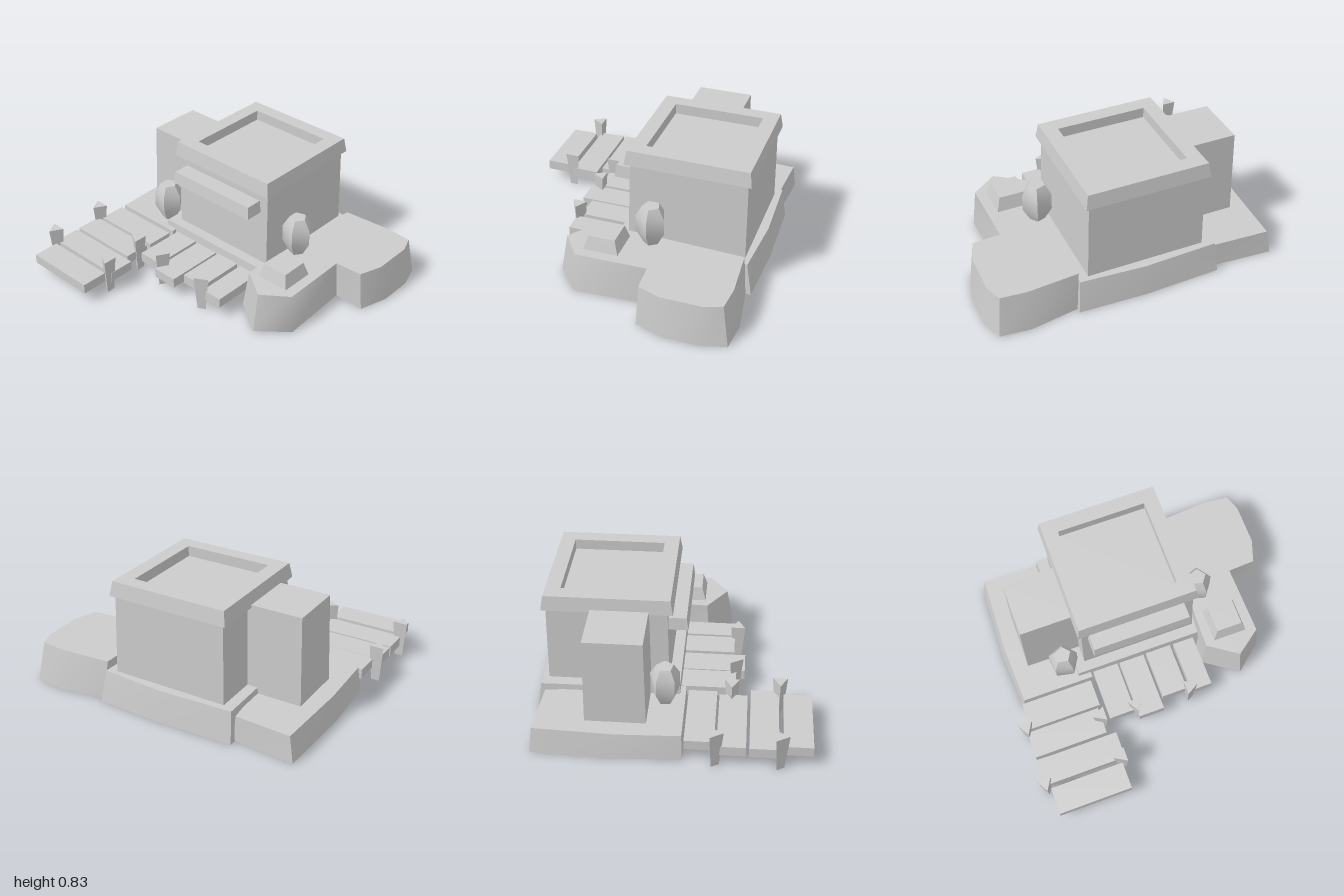
import * as THREE from 'three';
import { toCreasedNormals } from 'three/addons/utils/BufferGeometryUtils.js';

const grey = new THREE.MeshStandardMaterial({ color: 0xcccccc });
const shellGrey = new THREE.MeshStandardMaterial({ color: 0xcccccc, side: THREE.DoubleSide });

// Joins horizontal loops of [x, z] points, each at its own height, into a solid or an open shell.
function loft(loops, heights, { bottom = true, crease = 0.3 } = {}) {
  const pos = [];
  const put = (k, i) => pos.push(loops[k][i][0], heights[k], loops[k][i][1]);
  const n = loops[0].length;
  for (let k = 0; k < loops.length - 1; k++) {
    for (let i = 0; i < n; i++) {
      const j = (i + 1) % n;
      put(k, i); put(k, j); put(k + 1, j);
      put(k, i); put(k + 1, j); put(k + 1, i);
    }
  }
  const cap = (k, up) => {
    const flat = loops[k].map(([x, z]) => new THREE.Vector2(x, -z));
    for (const [a, b, c] of THREE.ShapeUtils.triangulateShape(flat, [])) {
      (up ? [a, b, c] : [a, c, b]).forEach((i) => put(k, i));
    }
  };
  cap(loops.length - 1, true);
  if (bottom) cap(0, false);
  const geometry = new THREE.BufferGeometry();
  geometry.setAttribute('position', new THREE.Float32BufferAttribute(pos, 3));
  return toCreasedNormals(geometry, crease);
}

// Rectangle loop, running along the front first.
const rect = (x0, x1, z0, z1, inset = 0) => [
  [x0 + inset, z1 - inset], [x1 - inset, z1 - inset],
  [x1 - inset, z0 + inset], [x0 + inset, z0 + inset],
];

const block = (x0, x1, y0, y1, z0, z1, inset = 0) =>
  loft([rect(x0, x1, z0, z1), rect(x0, x1, z0, z1, inset)], [y0, y1]);

export function createModel() {
  const model = new THREE.Group();
  const add = (name, geometry, material = grey) => {
    const mesh = new THREE.Mesh(geometry, material);
    mesh.name = name;
    model.add(mesh);
    return mesh;
  };

  // Ground slabs, hollow underneath
  const slab = (name, height, low, high) =>
    add(name, loft([low, high], [0, height], { bottom: false, crease: 1.0 }), shellGrey);
  slab('frontGround', 0.265,
    [[-0.36, 0.57], [-0.2, 0.76], [0.29, 0.735], [0.285, 0.94], [0.48, 0.998], [0.71, 0.998],
      [0.865, 0.95], [0.885, 0.75], [0.835, 0.43], [-0.2, 0.34]],
    [[-0.315, 0.565], [-0.19, 0.735], [0.28, 0.725], [0.29, 0.91], [0.44, 0.96], [0.71, 0.96],
      [0.82, 0.92], [0.835, 0.75], [0.81, 0.41], [-0.18, 0.37]]);
  slab('middleGround', 0.21,
    [[-0.07, 0.37], [0.87, 0.43], [0.888, -0.02], [0.87, -0.53], [-0.07, -0.52]],
    [[-0.05, 0.36], [0.83, 0.41], [0.86, -0.02], [0.84, -0.515], [-0.05, -0.505]]);
  slab('backGround', 0.17,
    [[-0.095, -0.41], [0.82, -0.52], [0.85, -0.935], [0.31, -0.955], [-0.095, -0.93]],
    [[-0.09, -0.42], [0.815, -0.53], [0.835, -0.905], [0.31, -0.925], [-0.09, -0.91]]);

  // House, rear tower and side beam
  add('houseWalls', block(0.02, 0.8, 0.2, 0.735, -0.44, 0.345, 0.01));
  add('rearTower', loft([rect(0.135, 0.52, -0.81, -0.42), rect(0.145, 0.51, -0.795, -0.42)], [0.16, 0.755]));
  add('sideBeam', loft([rect(-0.097, 0.04, -0.39, 0.28), rect(-0.085, 0.04, -0.38, 0.27)], [0.588, 0.67]));

  // Roof with a raised rim around a sunken deck
  const roof = (inset) => rect(-0.005, 0.815, -0.458, 0.36, inset);
  add('roof', loft([roof(0), roof(0.015), roof(0.112), roof(0.112)], [0.738, 0.835, 0.835, 0.765]));

  // Crate on the front ground
  add('crate', block(-0.165, 0.065, 0.262, 0.357, 0.435, 0.665, 0.027));

  // Five-sided jars
  const profile = [[0, 0], [0.05, 0], [0.098, 0.09], [0.098, 0.2], [0.057, 0.27], [0, 0.27]]
    .map(([r, y]) => new THREE.Vector2(r, y));
  [[0.21, 0.265, 0.445, 0], [0.035, 0.17, -0.575, 0.1]].forEach(([x, y, z, turn]) => {
    const jar = add('jar', toCreasedNormals(new THREE.LatheGeometry(profile, 5), 1.0));
    jar.position.set(x, y, z);
    jar.rotation.y = turn;
  });

  // Boardwalk planks: x range, z range, underside height
  [
    [-0.895, -0.715, -0.93, -0.43, 0.078],
    [-0.685, -0.505, -0.96, -0.4, 0.075],
    [-0.485, -0.305, -0.96, -0.46, 0.078],
    [-0.29, -0.105, -0.93, -0.44, 0.085],
    [-0.405, -0.03, -0.405, -0.23, 0.09],
    [-0.46, -0.03, -0.215, -0.04, 0.085],
    [-0.385, -0.03, -0.02, 0.155, 0.09],
    [-0.41, -0.03, 0.18, 0.325, 0.085],
  ].forEach(([x0, x1, z0, z1, y]) => add('plank', block(x0, x1, y, y + 0.067, z0, z1)));

  // Three-sided posts, each with the direction its corner points
  [
    [-0.69, -0.955, -Math.PI / 2], [-0.69, -0.425, Math.PI],
    [-0.292, -0.955, -Math.PI / 2], [-0.383, -0.46, Math.PI],
    [-0.393, -0.215, -Math.PI / 2], [-0.405, 0.165, 0],
  ].forEach(([x, z, turn]) => {
    const post = add('post', toCreasedNormals(new THREE.CylinderGeometry(0.056, 0.032, 0.25, 3), 0.5));
    post.position.set(x, 0.125, z);
    post.rotation.y = turn;
  });

  return model;
}
